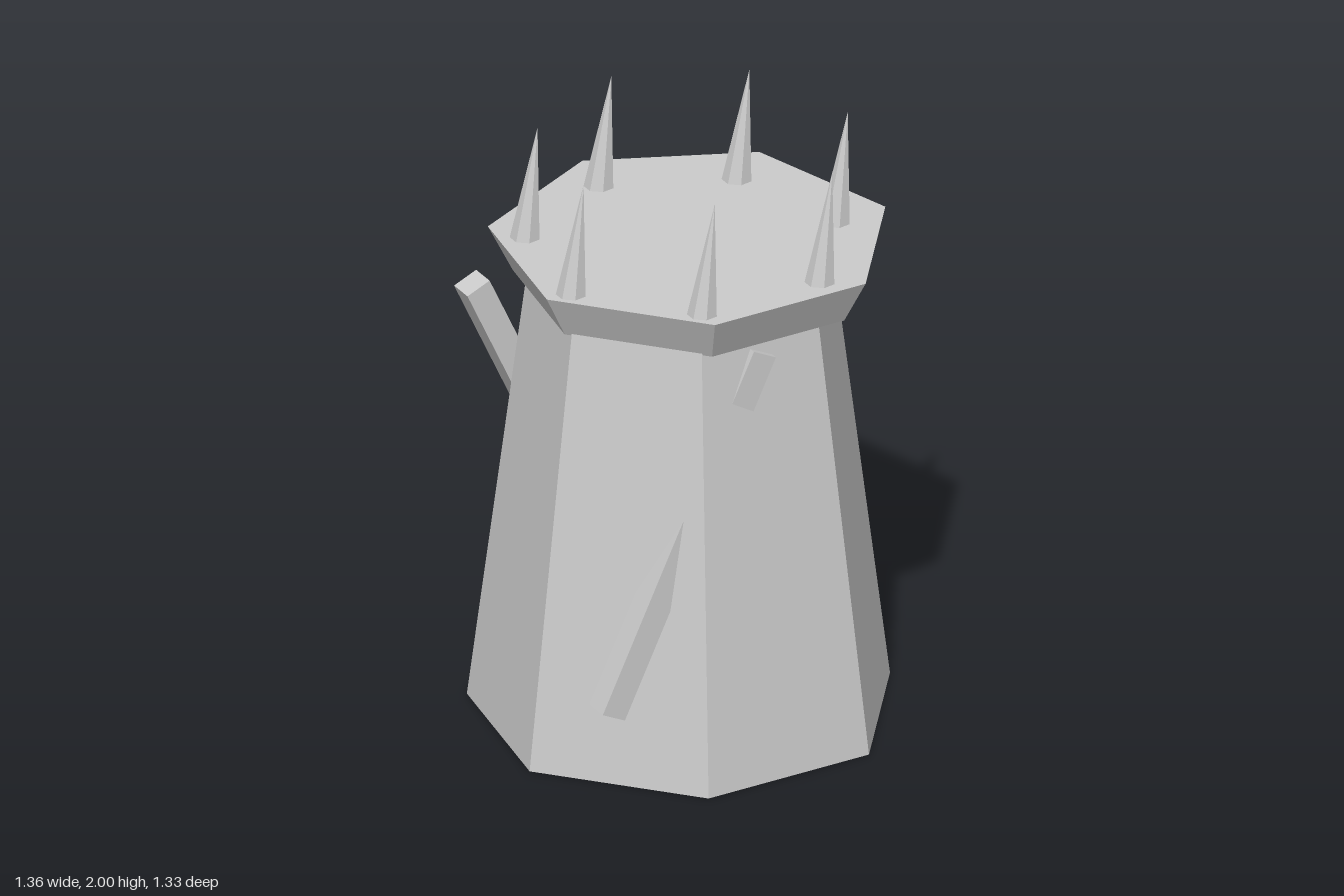
import * as THREE from 'three';

const SIDES = 7;
const TURN = THREE.MathUtils.degToRad(29.5);

export function createModel() {
  const model = new THREE.Group();
  const stone = new THREE.MeshStandardMaterial({ color: 0xcccccc, flatShading: true });

  const add = (name, geometry, x, y, z) => {
    const mesh = new THREE.Mesh(geometry, stone);
    mesh.name = name;
    mesh.position.set(x, y, z);
    model.add(mesh);
    return mesh;
  };

  // A seven-sided tapered block, given by its bottom and top radius
  const block = (top, bottom, height) =>
    new THREE.CylinderGeometry(top, bottom, height, SIDES, 1, false, TURN);

  // Tower body and the flared crown, which sits slightly off its axis
  add('tower', block(0.502, 0.693, 1.49), -0.016, 0.745, 0.022);
  add('crown', block(0.651, 0.571, 0.15), 0.034, 1.545, -0.018);

  // Ring of spikes, each leaning so its tip is above the +x edge of its foot
  const spike = new THREE.ConeGeometry(0.05, 0.38, SIDES, 1, false, Math.PI / 2);
  spike.translate(0, 0.19, 0);
  spike.applyMatrix4(new THREE.Matrix4().makeShear(0, 0, 0.045 / 0.38, 0, 0, 0));
  for (let i = 0; i < SIDES; i++) {
    const a = TURN + (i / SIDES) * Math.PI * 2;
    add('spike' + (i + 1), spike, -0.016 + 0.508 * Math.sin(a), 1.615, 0.024 + 0.508 * Math.cos(a));
  }

  // Square beams driven slantwise through the wall, from one end to the other
  const beam = (name, x1, y1, x2, y2, z) => {
    const length = Math.hypot(x2 - x1, y2 - y1);
    const mesh = add(name, new THREE.BoxGeometry(0.088, length, 0.09), (x1 + x2) / 2, (y1 + y2) / 2, z);
    mesh.rotation.z = -Math.atan2(x2 - x1, y2 - y1);
  };
  beam('frontBeam', -0.53, 0.275, 0.015, 1.43, 0.46);
  beam('backBeam', -0.01, 0.27, -0.55, 1.425, -0.405);

  return model;
}
